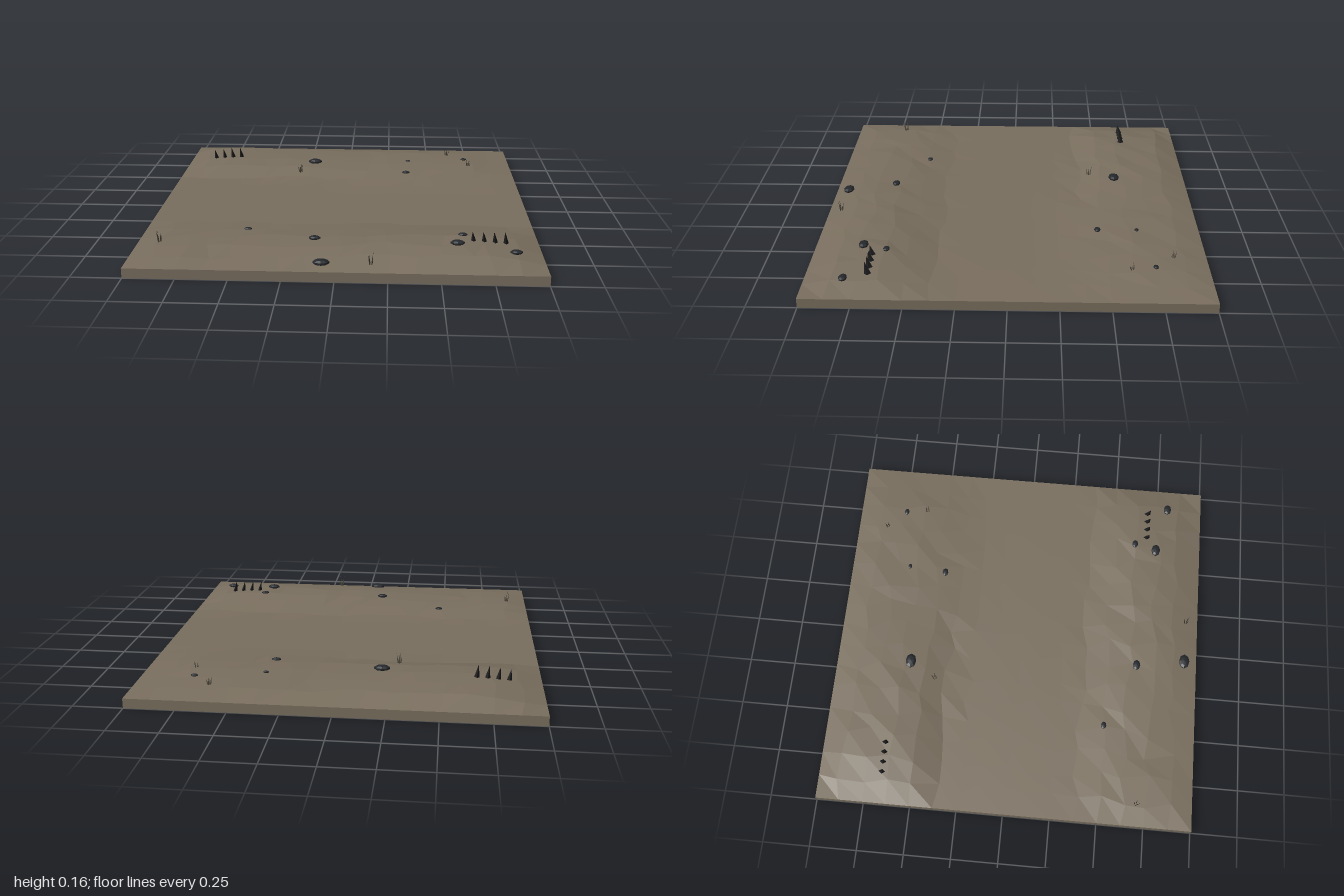
import * as THREE from 'three';

// Piecewise-linear curve through [t, value] pairs
function curve(points, t) {
  for (let i = 1; i < points.length; i++) {
    const [a, va] = points[i - 1], [b, vb] = points[i];
    if (t <= b) return va + (vb - va) * Math.max(0, (t - a) / (b - a));
  }
  return points[points.length - 1][1];
}

const BASE = 0.05;
const frontCrest = [[-1, 0], [-0.88, 0.018], [-0.3, 0.027], [-0.1, 0.034], [0.2, 0.043], [0.6, 0.05], [0.85, 0.038], [1, 0]];
const backCrest = [[-1, 0], [-0.85, 0.038], [-0.7, 0.049], [-0.4, 0.046], [-0.2, 0.04], [0, 0.032], [0.7, 0.025], [1, 0]];
const frontBank = [[0.37, 0], [0.5, 0.55], [0.625, 0.97], [0.75, 1], [0.875, 0.75], [1, 0]];
const backLeftBank = [[0.37, 0], [0.51, 0.85], [0.65, 1], [0.875, 0.8], [1, 0]];
const backRightBank = [[0.22, 0], [0.375, 0.3], [0.5, 0.75], [0.65, 1], [0.875, 0.8], [1, 0]];

// Ground height: two banks either side of a flat strip
function groundHeight(x, z) {
  if (z > 0) return BASE + curve(frontCrest, x) * curve(frontBank, z);
  const bank = x < 0 ? backLeftBank : backRightBank;
  return BASE + curve(backCrest, x) * curve(bank, -z);
}

// Repeatable noise in -1..1
function noise(x, z, k) {
  const s = Math.sin(Math.round(x * 8) * 12.99 + Math.round(z * 8) * 78.23 + k * 37.7) * 43758.55;
  return (s - Math.floor(s)) * 2 - 1;
}

export function createModel() {
  const group = new THREE.Group();
  const earth = new THREE.MeshStandardMaterial({ name: 'earth', color: 0x7a6f5f, flatShading: true });
  const stone = new THREE.MeshStandardMaterial({ name: 'darkStone', color: 0x25282c, flatShading: true });
  const char = new THREE.MeshStandardMaterial({ name: 'charredWood', color: 0x1c1c1e, flatShading: true });
  const dry = new THREE.MeshStandardMaterial({ name: 'dryGrass', color: 0x4a463a, flatShading: true });

  function add(name, geometry, material, parent = group) {
    const mesh = new THREE.Mesh(geometry, material);
    mesh.name = name;
    parent.add(mesh);
    return mesh;
  }

  // Ground slab with a displaced top
  const slab = new THREE.BoxGeometry(2, BASE, 2, 16, 1, 16);
  slab.translate(0, BASE / 2, 0);
  const p = slab.attributes.position;
  for (let i = 0; i < p.count; i++) {
    let x = p.getX(i), z = p.getZ(i);
    if (p.getY(i) < 0.01 || Math.abs(x) > 0.99 || Math.abs(z) > 0.99) continue;
    const nx = x + noise(x, z, 1) * 0.035, nz = z + noise(x, z, 2) * 0.025;
    const h = groundHeight(nx, nz);
    const bump = h > BASE + 0.01 ? noise(x, z, 3) * 0.003 : 0;
    p.setXYZ(i, nx, h + bump, nz);
  }
  slab.computeVertexNormals();
  add('ground', slab, earth);

  // Flattened rocks: x, z, radius
  const rocks = [
    [-0.205, -0.585, 0.042], [0.355, -0.46, 0.024], [0.37, -0.665, 0.015], [0.72, -0.73, 0.019],
    [-0.47, 0.505, 0.021], [-0.115, 0.665, 0.03], [-0.065, 0.93, 0.042],
    [0.587, 0.74, 0.036], [0.62, 0.62, 0.024], [0.865, 0.8, 0.031],
  ];
  const rockGeometry = new THREE.SphereGeometry(1, 8, 5);
  for (const [x, z, r] of rocks) {
    const rock = add('rock', rockGeometry, stone);
    rock.position.set(x, groundHeight(x, z) + r * 0.15, z);
    rock.scale.set(r, r * 0.35, r * 0.72);
  }

  // Leaning spikes in two rows of four
  const spike = new THREE.ConeGeometry(0.013, 0.06, 4);
  spike.scale(1, 1, 1.4);
  spike.translate(0, 0.025, 0);
  for (const [x0, z] of [[-0.835, -0.66], [0.668, 0.685]]) {
    const row = new THREE.Group();
    row.name = 'spikeRow';
    group.add(row);
    for (let i = 0; i < 4; i++) {
      const x = x0 + i * 0.053;
      const mesh = add('spike', spike, char, row);
      mesh.position.set(x, groundHeight(x, z), z);
      mesh.rotation.set(0.2, 0, 0.13);
      mesh.scale.y = 0.92 + i * 0.06;
    }
  }

  // Tufts of thin splayed blades: x, z, height
  const blade = new THREE.ConeGeometry(0.004, 1, 3);
  blade.translate(0, 0.5, 0);
  const tufts = [[-0.885, 0.7, 0.07], [0.17, 0.93, 0.07], [-0.285, -0.445, 0.065], [0.74, -0.61, 0.045], [0.62, -0.83, 0.045]];
  for (const [x, z, h] of tufts) {
    const tuft = new THREE.Group();
    tuft.name = 'grassTuft';
    tuft.position.set(x, groundHeight(x, z) - 0.004, z);
    group.add(tuft);
    for (let i = 0; i < 4; i++) {
      const a = i * 1.57 + x * 5;
      const mesh = add('blade', blade, dry, tuft);
      mesh.position.set(Math.cos(a) * 0.007, 0, Math.sin(a) * 0.007);
      mesh.rotation.set(Math.sin(a) * 0.15, 0, -Math.cos(a) * 0.15);
      mesh.scale.y = h * (1 - i * 0.1);
    }
  }
  return group;
}
